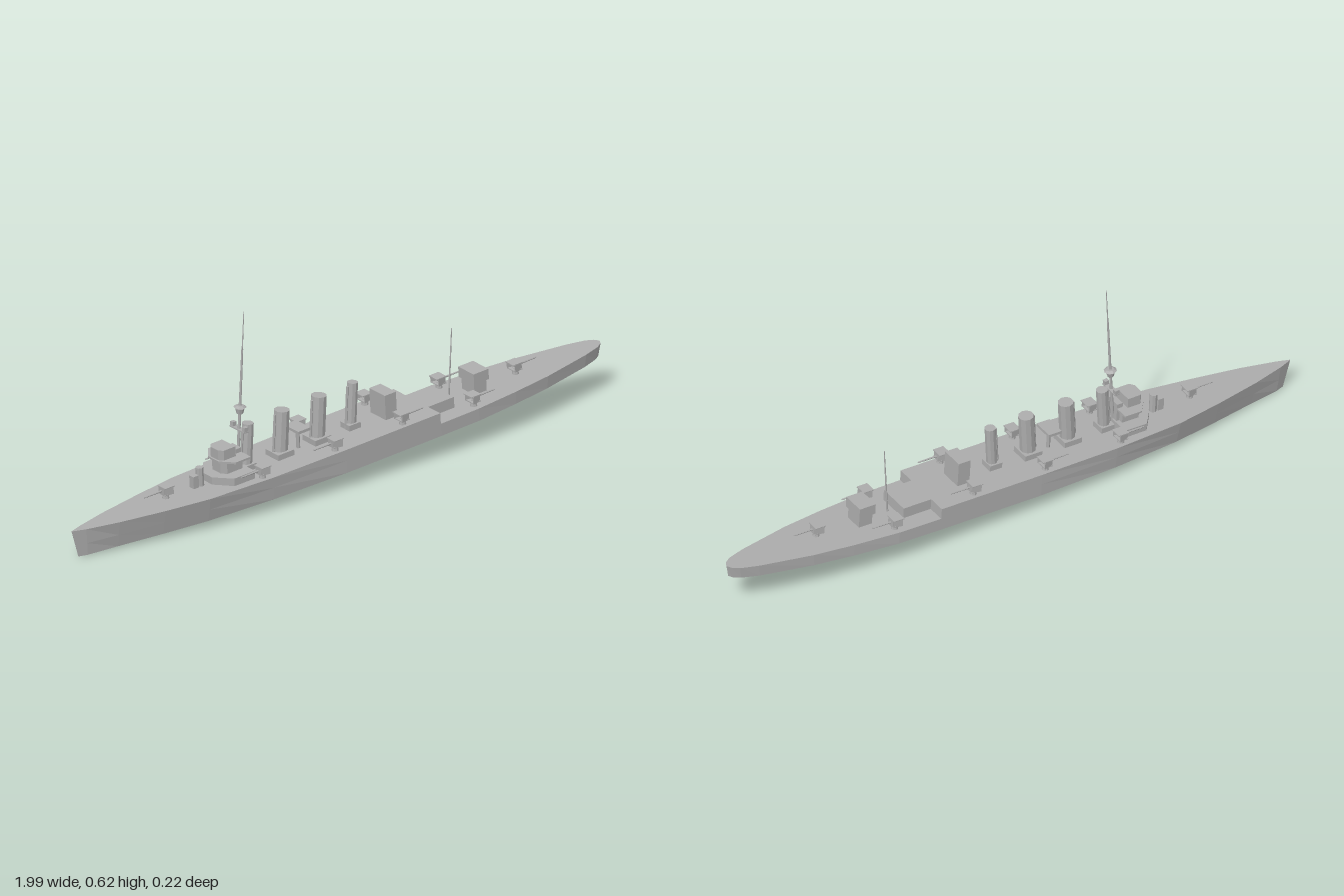
import * as THREE from 'three';

const grey = new THREE.MeshStandardMaterial({ color: 0xacacac });
grey.name = 'shipGrey';
const DECK = 0.075, QUARTER = 0.04, RAKE = -0.106;

// Mesh with one flat normal per face
function add(parent, name, geo, x = 0, y = 0, z = 0) {
  const flat = geo.index ? geo.toNonIndexed() : geo;
  flat.computeVertexNormals();
  const m = new THREE.Mesh(flat, grey);
  m.name = name;
  m.position.set(x, y, z);
  parent.add(m);
  return m;
}

// Box standing on height y
function box(parent, name, x, y, z, w, h, d) {
  return add(parent, name, new THREE.BoxGeometry(w, h, d), x, y + h / 2, z);
}

// Upright cylinder standing on height y, leaning aft by the rake
function post(parent, name, x, y, z, r0, r1, h, sides = 8, rake = 0) {
  const g = new THREE.CylinderGeometry(r1, r0, h, sides).translate(0, h / 2, 0);
  const m = add(parent, name, g, x, y, z);
  m.rotation.z = rake;
  return m;
}

// Hull stations: bottom x, top x, bottom half width, top half width, deck height
const stations = [
  [-0.978, -0.998, 0, 0.001, 0.09], [-0.95, -0.955, 0.01, 0.016, 0.088],
  [-0.85, -0.85, 0.027, 0.043, 0.085], [-0.7, -0.7, 0.055, 0.072, 0.081],
  [-0.55, -0.55, 0.08, 0.096, 0.078], [-0.32, -0.32, 0.101, 0.108, DECK],
  [-0.05, -0.05, 0.112, 0.112, DECK], [0.305, 0.305, 0.112, 0.112, DECK],
  [0.45, 0.45, 0.11, 0.11, DECK], [0.6, 0.6, 0.096, 0.099, DECK],
  [0.73, 0.74, 0.079, 0.083, DECK], [0.9, 0.91, 0.044, 0.05, DECK],
  [0.955, 0.968, 0.026, 0.034, DECK], [0.975, 0.992, 0.013, 0.018, DECK],
  [0.983, 1.0, 0, 0.001, DECK],
];

// Loft a four-sided section through the stations between two heights
function hullGeometry(list, lowOf, highOf) {
  const rings = list.map((s) => {
    const at = (y, side) => {
      const t = Math.min(1, y / s[4]);
      return [s[0] + (s[1] - s[0]) * t, y, side * (s[2] + (s[3] - s[2]) * t)];
    };
    const lo = lowOf(s), hi = highOf(s);
    return [at(lo, -1), at(hi, -1), at(hi, 1), at(lo, 1)];
  });
  const pos = [];
  const quad = (a, b, c, d) => pos.push(...a, ...b, ...c, ...a, ...c, ...d);
  for (let i = 0; i < rings.length - 1; i++) {
    for (let k = 0; k < 4; k++) {
      const n = (k + 1) % 4;
      quad(rings[i][k], rings[i][n], rings[i + 1][n], rings[i + 1][k]);
    }
  }
  const a = rings[0], z = rings[rings.length - 1];
  quad(a[3], a[2], a[1], a[0]);
  quad(z[0], z[1], z[2], z[3]);
  const g = new THREE.BufferGeometry();
  g.setAttribute('position', new THREE.Float32BufferAttribute(pos, 3));
  return g;
}

// Flat plate cut from a plan outline of [x, z] points
function plate(parent, name, pts, y, h) {
  const s = new THREE.Shape(pts.map(([x, z]) => new THREE.Vector2(x, -z)));
  const g = new THREE.ExtrudeGeometry(s, { depth: h, bevelEnabled: false });
  return add(parent, name, g.rotateX(-Math.PI / 2), 0, y, 0);
}

// Deck gun with a shield open at the rear; dir is +1 for barrels pointing aft
function gun(parent, name, x, deck, z, dir) {
  const g = new THREE.Group();
  g.name = name;
  g.position.set(x, deck, z);
  if (dir < 0) g.rotation.y = Math.PI;
  parent.add(g);
  post(g, 'pedestal', 0, 0, 0, 0.011, 0.007, 0.02);
  box(g, 'shieldFloor', 0, 0.015, 0, 0.03, 0.003, 0.034);
  box(g, 'shieldRoof', -0.003, 0.037, 0, 0.036, 0.003, 0.038);
  box(g, 'shieldFront', 0.013, 0.015, 0, 0.004, 0.024, 0.026);
  for (const s of [-1, 1]) {
    const side = box(g, 'shieldSide', -0.001, 0.015, s * 0.016, 0.03, 0.024, 0.003);
    side.rotation.y = s * 0.2;
  }
  const barrel = add(g, 'barrel', new THREE.CylinderGeometry(0.0022, 0.0035, 0.085, 6), 0.037, 0.027, 0);
  barrel.rotation.z = -Math.PI / 2;
}

export function createModel() {
  const model = new THREE.Group();
  model.name = 'warship';
  const ship = new THREE.Group();
  ship.name = 'tiltedShip';
  ship.position.y = 0.0575;
  ship.rotation.z = 0.059;
  model.add(ship);

  // Hull: full-length lower body, raised forward body and its narrow aft end
  add(ship, 'lowerHull', hullGeometry(stations, () => 0, () => QUARTER));
  add(ship, 'upperHull', hullGeometry(stations.slice(0, 8), () => QUARTER, (s) => s[4]));
  box(ship, 'deckStep', 0.353, QUARTER, 0, 0.098, DECK - QUARTER, 0.108);

  const top = new THREE.Group();
  top.name = 'superstructure';
  top.position.x = 0.005;
  ship.add(top);

  // Bridge
  const outline = (f, a, w, n) => [[f, n], [f + (w - n) * 0.8, w], [a, w], [a, -w], [f + (w - n) * 0.8, -w], [f, -n]];
  plate(top, 'bridgeBase', outline(-0.49, -0.37, 0.075, 0.022), DECK, 0.026);
  plate(top, 'bridgeHouse', outline(-0.455, -0.385, 0.036, 0.02), 0.1, 0.045);
  plate(top, 'bridgeDeck', outline(-0.465, -0.375, 0.066, 0.025), 0.14, 0.006);
  plate(top, 'wheelhouse', outline(-0.46, -0.405, 0.032, 0.018), 0.146, 0.032);
  box(top, 'chartHouse', -0.385, 0.1, 0, 0.02, 0.06, 0.04);
  post(top, 'conningTower', -0.518, DECK, 0, 0.012, 0.012, 0.062);
  box(top, 'towerStep', -0.54, DECK, 0, 0.02, 0.042, 0.02);

  // Funnels on square bases
  for (const [x, r] of [[-0.345, 0.018], [-0.217, 0.024], [-0.077, 0.024], [0.05, 0.017]]) {
    box(top, 'funnelBase', x, DECK, 0, r * 2.5, 0.018, r * 2.6);
    post(top, 'funnel', x, DECK, 0, r, r, 0.145, 10, RAKE);
    post(top, 'steamPipe', x - r - 0.002, DECK, 0, 0.004, 0.004, 0.136, 6, RAKE);
  }

  // Searchlight platform between the funnels
  box(top, 'platform', -0.148, 0.137, 0, 0.045, 0.009, 0.068);
  post(top, 'platformLeg', -0.148, DECK, 0, 0.006, 0.006, 0.064, 6);

  // Deckhouses
  box(top, 'midHouse', 0.175, DECK, 0, 0.042, 0.08, 0.074);
  box(top, 'aftHouseBase', 0.515, QUARTER, 0, 0.046, 0.04, 0.06);
  box(top, 'aftHouse', 0.515, 0.078, 0, 0.056, 0.034, 0.074);

  // Masts
  const main = new THREE.Group();
  main.name = 'mainMast';
  main.position.set(-0.378, DECK, 0);
  main.rotation.z = RAKE;
  top.add(main);
  post(main, 'lowerMast', 0, 0, 0, 0.0055, 0.003, 0.39);
  post(main, 'topMast', 0, 0.39, 0, 0.002, 0.0012, 0.122, 6);
  box(main, 'lightPlatform', 0, 0.134, 0, 0.018, 0.004, 0.07);
  for (const s of [-1, 1]) box(main, 'searchlight', 0, 0.138, s * 0.028, 0.014, 0.013, 0.013);
  post(main, 'crowsNest', 0, 0.186, 0, 0.01, 0.014, 0.016);
  post(main, 'crowsNestRoof', 0, 0.207, 0, 0.02, 0.012, 0.005);
  post(top, 'aftMast', 0.418, QUARTER, 0, 0.003, 0.0015, 0.228, 6, RAKE);

  // Guns: centreline fore and aft, then mirrored pairs along the sides
  gun(top, 'bowGun', -0.648, 0.08, 0, -1);
  gun(top, 'sternGun', 0.67, QUARTER, 0, 1);
  for (const s of [-1, 1]) {
    gun(top, 'forwardSideGun', -0.35, DECK, s * 0.085, -1);
    gun(top, 'midSideGun', -0.08, DECK, s * 0.09, -1);
    gun(top, 'aftSideGun', 0.175, DECK, s * 0.09, 1);
    gun(top, 'quarterGun', 0.447, QUARTER, s * 0.083, 1);
  }
  return model;
}
